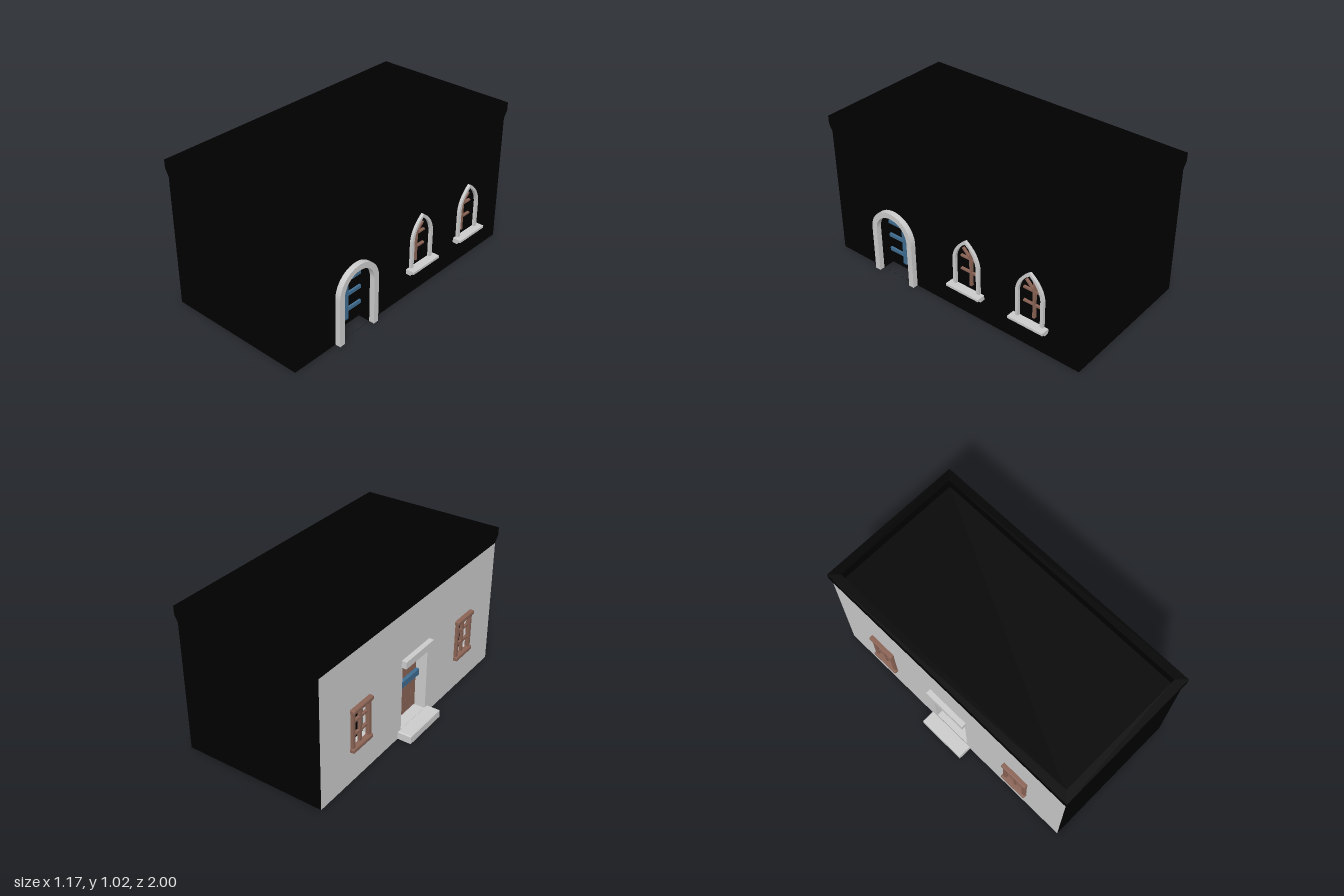
import * as THREE from 'three';
import { RoundedBoxGeometry } from 'three/addons/geometries/RoundedBoxGeometry.js';

const mat = color => new THREE.MeshStandardMaterial({ color, side: THREE.DoubleSide });
const grey = mat(0xcccccc);
const black = mat(0x000000);
const brown = mat(0x8a6355);
const blue = mat(0x3f6c90);
const orange = mat(0xff6a10);

const XL = -0.486, XR = 0.523, XC = (XL + XR) / 2, ZW = 0.99;

function add(parent, name, geometry, material, x = 0, y = 0, z = 0) {
  const mesh = new THREE.Mesh(geometry, material);
  mesh.name = name;
  mesh.position.set(x, y, z);
  parent.add(mesh);
  return mesh;
}

// Box given by its limits along the wall (u), height (y) and outwards (w)
function box(parent, name, material, u0, u1, y0, y1, w0, w1, round = 0) {
  const s = [u1 - u0, y1 - y0, w1 - w0];
  const g = round ? new RoundedBoxGeometry(...s, 2, round) : new THREE.BoxGeometry(...s);
  return add(parent, name, g, material, (u0 + u1) / 2, (y0 + y1) / 2, (w0 + w1) / 2);
}

function rectangle(u0, u1, y0, y1, Type = THREE.Shape) {
  return new Type([[u0, y0], [u1, y0], [u1, y1], [u0, y1]].map(p => new THREE.Vector2(...p)));
}

// Pointed arch outline
function pointedArch(c, half, base, spring, top, Type = THREE.Shape) {
  const s = new Type();
  const cy = spring + (top - spring) * 0.6;
  s.moveTo(c - half, base);
  s.lineTo(c + half, base);
  s.lineTo(c + half, spring);
  s.quadraticCurveTo(c + half * 0.9, cy, c, top);
  s.quadraticCurveTo(c - half * 0.9, cy, c - half, spring);
  s.lineTo(c - half, base);
  return s;
}

// Round arch opening
function roundArch(c, half, base, spring, Type) {
  const s = new Type();
  s.moveTo(c - half, base);
  s.lineTo(c + half, base);
  s.lineTo(c + half, spring);
  s.absarc(c, spring, half, 0, Math.PI, false);
  s.lineTo(c - half, base);
  return s;
}

// Round arch band with two legs, open at the bottom
function archBand(c, outer, inner, spring) {
  const s = new THREE.Shape();
  s.moveTo(c + inner, 0);
  s.lineTo(c + outer, 0);
  s.lineTo(c + outer, spring);
  s.absarc(c, spring, outer, 0, Math.PI, false);
  s.lineTo(c - outer, 0);
  s.lineTo(c - inner, 0);
  s.lineTo(c - inner, spring);
  s.absarc(c, spring, inner, Math.PI, 0, true);
  s.lineTo(c + inner, 0);
  return s;
}

function extrude(parent, name, shape, holes, material, w0, w1) {
  shape.holes = holes;
  const g = new THREE.ExtrudeGeometry(shape, { depth: w1 - w0, bevelEnabled: false, curveSegments: 16 });
  return add(parent, name, g, material, 0, 0, w0);
}

// Rectangular rings [halfX, halfZ, y] joined into a flat-sided band
function loft(rings) {
  const corners = [[1, 1], [1, -1], [-1, -1], [-1, 1]];
  const pos = [];
  const at = (r, k) => [r[0] * corners[k % 4][0], r[2], r[1] * corners[k % 4][1]];
  for (let i = 0; i + 1 < rings.length; i++) {
    for (let k = 0; k < 4; k++) {
      const a = at(rings[i], k), b = at(rings[i], k + 1);
      const c = at(rings[i + 1], k + 1), d = at(rings[i + 1], k);
      pos.push(...a, ...b, ...c, ...a, ...c, ...d);
    }
  }
  const g = new THREE.BufferGeometry();
  g.setAttribute('position', new THREE.Float32BufferAttribute(pos, 3));
  g.computeVertexNormals();
  return g;
}

// Slab with a bevelled top and no underside
function slab(halfU, halfW, height) {
  const b = 0.006;
  return loft([[halfU, halfW, 0], [halfU, halfW, height - b],
    [halfU - b, halfW - b, height], [halfU - halfW, 0, height]]);
}

function subgroup(parent, name) {
  const g = new THREE.Group();
  g.name = name;
  parent.add(g);
  return g;
}

function archedDoor(side, c) {
  const door = subgroup(side, 'archedDoor');
  extrude(door, 'doorSurround', archBand(c, 0.173, 0.133, 0.333), [], grey, 0, 0.038);
  extrude(door, 'doorReveal', archBand(c, 0.14, 0.133, 0.333), [], black, -0.1, 0);
  // planks trimmed to the arch, with narrow gaps
  const n = 8, w = 0.264 / n;
  for (let i = 0; i < n; i++) {
    const u = -0.132 + i * w;
    const near = Math.min(Math.abs(u), Math.abs(u + w));
    const top = 0.333 + Math.sqrt(0.139 ** 2 - near ** 2);
    box(door, 'doorPlank', black, c + u + 0.0015, c + u + w - 0.0015, 0, top, -0.1, -0.085);
  }
  box(door, 'doorPost', blue, c - 0.016, c + 0.016, 0.05, 0.464, -0.085, -0.068);
  for (const y of [0.117, 0.23, 0.337])
    box(door, 'doorBand', blue, c - 0.133, c + 0.133, y - 0.012, y + 0.012, -0.085, -0.07);
}

function pointedWindow(side, c) {
  const win = subgroup(side, 'pointedWindow');
  const inner = T => pointedArch(c, 0.082, 0.2, 0.4, 0.54, T);
  extrude(win, 'windowSurround', pointedArch(c, 0.104, 0.2, 0.4, 0.563), [inner(THREE.Path)], grey, 0, 0.02);
  extrude(win, 'windowReveal', pointedArch(c, 0.09, 0.195, 0.4, 0.547), [inner(THREE.Path)], black, -0.045, 0);
  extrude(win, 'windowPane', inner(), [], black, -0.05, -0.045);
  // glazing bars with a fan of two diagonals
  box(win, 'mullion', brown, c - 0.008, c + 0.008, 0.2, 0.54, -0.045, -0.025);
  for (const y of [0.297, 0.397])
    box(win, 'glazingBar', brown, c - 0.083, c + 0.083, y - 0.006, y + 0.006, -0.045, -0.028);
  for (const s of [-1, 1]) {
    const bar = box(win, 'fanBar', brown, c - 0.045, c + 0.045, 0.424, 0.436, -0.045, -0.028);
    bar.position.x += s * 0.033;
    bar.rotation.z = s * Math.PI / 4;
  }
  box(win, 'upperSill', grey, c - 0.131, c + 0.131, 0.19, 0.207, 0, 0.06);
  box(win, 'lowerSill', grey, c - 0.131, c + 0.131, 0.173, 0.19, 0, 0.035);
}

function smallWindow(side, c) {
  const win = subgroup(side, 'smallWindow');
  extrude(win, 'windowReveal', rectangle(c - 0.1, c + 0.1, 0.24, 0.53),
    [rectangle(c - 0.095, c + 0.095, 0.245, 0.525, THREE.Path)], grey, -0.05, 0);
  const pane = new THREE.PlaneGeometry(0.196, 0.286);
  add(win, 'windowPane', pane, black, c, 0.385, -0.048);
  add(win, 'windowGlow', pane, orange, c, 0.385, -0.051);
  for (const s of [-1, 1])
    box(win, 'sidePost', brown, c + s * 0.083 - 0.014, c + s * 0.083 + 0.014, 0.25, 0.52, -0.01, 0.018, 0.005);
  for (const y of [0.245, 0.52])
    box(win, 'frameRail', brown, c - 0.102, c + 0.102, y - 0.015, y + 0.015, -0.01, 0.03, 0.008);
  box(win, 'mullion', brown, c - 0.009, c + 0.009, 0.25, 0.52, -0.012, 0.008);
  for (const y of [0.335, 0.43])
    box(win, 'glazingBar', brown, c - 0.08, c + 0.08, y - 0.008, y + 0.008, -0.012, 0.006);
}

function plankDoor(side, c) {
  const door = subgroup(side, 'plankDoor');
  const h = 0.147;
  extrude(door, 'doorReveal', rectangle(c - h - 0.005, c + h + 0.005, 0, 0.535),
    [rectangle(c - h, c + h, 0.001, 0.53, THREE.Path)], grey, -0.09, 0);
  const n = 5, w = 2 * h / n;
  for (let i = 0; i < n; i++)
    box(door, 'doorPlank', brown, c - h + i * w + 0.001, c - h + (i + 1) * w - 0.001, 0.04, 0.53, -0.095, -0.08);
  box(door, 'doorBand', blue, c - h, c + h, 0.29, 0.335, -0.08, -0.055);
  box(door, 'lintel', grey, c - 0.16, c + 0.16, 0.528, 0.578, 0, 0.035);
  add(door, 'threshold', slab(h, 0.05, 0.05), grey, c, 0, -0.045);
  add(door, 'doorStep', slab(0.177, 0.05, 0.057), grey, c - 0.004, 0, 0.048);
}

export function createModel() {
  const model = new THREE.Group();
  model.name = 'house';

  // end walls and flat roof inside a parapet
  const hx = (XR - XL) / 2;
  for (const s of [-1, 1]) {
    const wall = add(model, 'endWall', new THREE.PlaneGeometry(2 * hx, 0.94), black, XC, 0.47, s * ZW);
    wall.rotation.y = s > 0 ? 0 : Math.PI;
  }
  add(model, 'cornice', loft([[hx, ZW, 0.908], [hx + 0.013, 1, 0.965], [hx + 0.013, 1, 1.022],
    [hx - 0.047, 0.94, 1.022], [hx - 0.047, 0.94, 0.945]]), black, XC);
  const roof = add(model, 'roof', new THREE.PlaneGeometry(2 * hx - 0.094, 1.88), black, XC, 0.945, 0);
  roof.rotation.x = -Math.PI / 2;

  // wall with the arched door and pointed windows (u runs towards -z)
  const archSide = subgroup(model, 'archedSide');
  archSide.position.x = XR;
  archSide.rotation.y = Math.PI / 2;
  const archWall = rectangle(-ZW, ZW, 0, 0.94);
  archWall.holes = [roundArch(-0.475, 0.133, 0.001, 0.333, THREE.Path),
    ...[0.14, 0.63].map(c => pointedArch(c, 0.082, 0.2, 0.4, 0.54, THREE.Path))];
  add(archSide, 'sideWall', new THREE.ShapeGeometry(archWall, 16), black);
  archedDoor(archSide, -0.475);
  for (const c of [0.14, 0.63]) pointedWindow(archSide, c);

  // wall with the plank door and small windows (u runs towards +z)
  const plankSide = subgroup(model, 'plankSide');
  plankSide.position.x = XL;
  plankSide.rotation.y = -Math.PI / 2;
  const plankWall = rectangle(-ZW, ZW, 0, 0.94);
  plankWall.holes = [rectangle(-0.143, 0.151, 0.001, 0.53, THREE.Path),
    ...[-0.6, 0.6].map(c => rectangle(c - 0.095, c + 0.095, 0.245, 0.525, THREE.Path))];
  add(plankSide, 'sideWall', new THREE.ShapeGeometry(plankWall), grey);
  plankDoor(plankSide, 0.004);
  for (const c of [-0.6, 0.6]) smallWindow(plankSide, c);

  return model;
}
